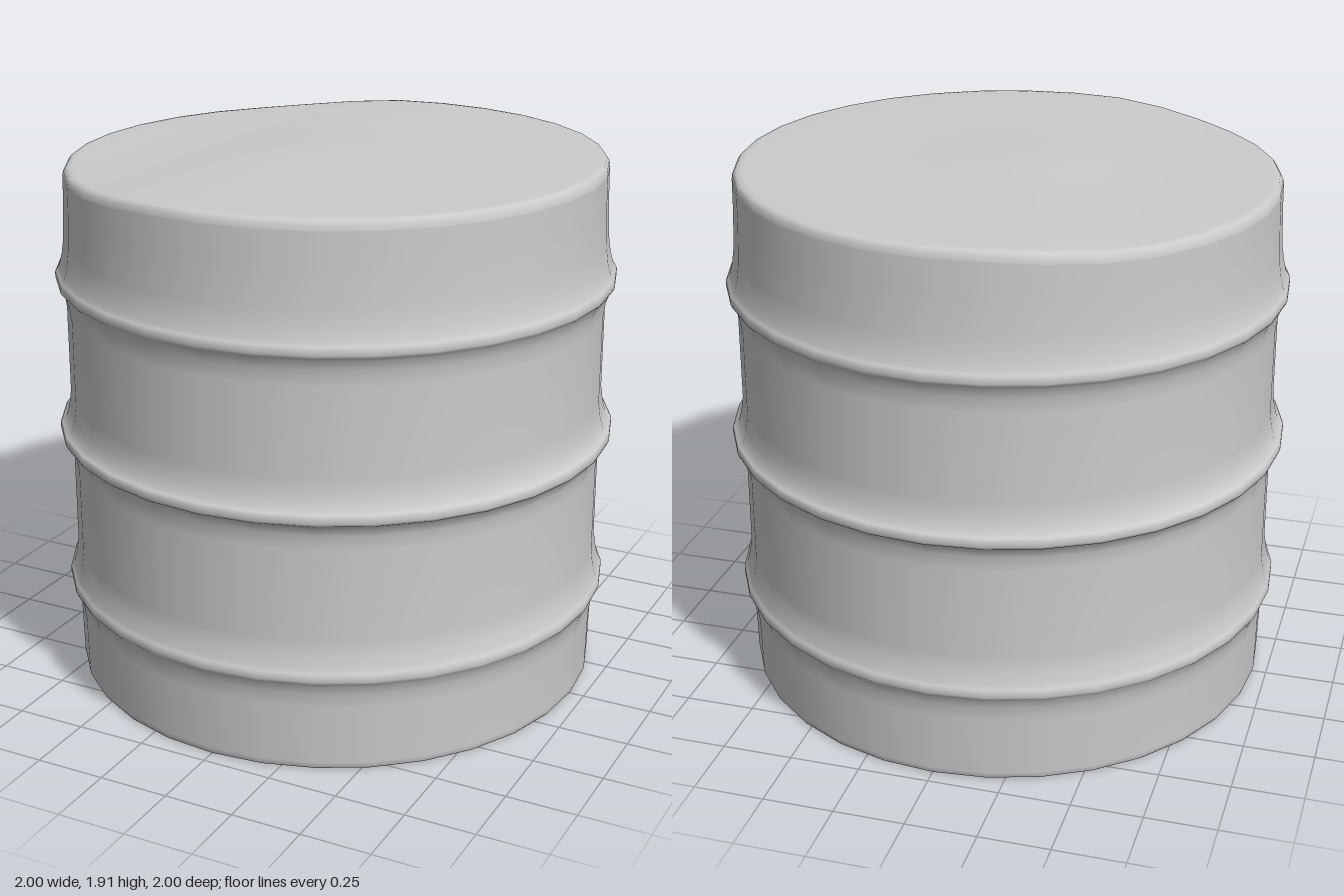
import * as THREE from 'three';
import { mergeVertices } from 'three/addons/utils/BufferGeometryUtils.js';

const SIDES = 32;
const material = new THREE.MeshStandardMaterial({ color: 0xcccccc });

function lathe(name, profile, deform) {
  const geo = new THREE.LatheGeometry(profile.map(([r, y]) => new THREE.Vector2(r, y)), SIDES);
  geo.deleteAttribute('uv');
  geo.deleteAttribute('normal');
  const pos = geo.attributes.position;
  if (deform) {
    for (let i = 0; i < pos.count; i++) pos.setY(i, deform(pos.getX(i), pos.getY(i)));
  }
  // weld the seam so the shading runs smoothly all round
  const welded = mergeVertices(geo, 1e-4);
  welded.computeVertexNormals();
  const mesh = new THREE.Mesh(welded, material);
  mesh.name = name;
  return mesh;
}

// The lid sinks slightly towards the right-hand side (-x)
const sink = (x, y) => {
  const depth = 0.028 * THREE.MathUtils.smoothstep(-x, 0.12, 0.68);
  return y - depth * THREE.MathUtils.smoothstep(y, 1.8, 1.88);
};

// A rolled hoop that flares out of the wall
const hoop = (y, r) => [
  [0.957, y - 0.12], [0.964, y - 0.065], [0.976, y - 0.03], [r - 0.004, y - 0.018],
  [r, y - 0.008], [r, y + 0.01], [r - 0.006, y + 0.02],
  [0.977, y + 0.032], [0.966, y + 0.075], [0.958, y + 0.13],
];

export function createModel() {
  const group = new THREE.Group();
  group.name = 'barrel';

  // Side wall with three hoops
  group.add(lathe('wall', [
    [0.945, 0], [0.951, 0.008], [0.953, 0.025],
    ...hoop(0.355, 0.99),
    ...hoop(0.928, 1.0),
    ...hoop(1.49, 0.992),
    [0.952, 1.75], [0.95, 1.868],
  ], sink));

  // Lid with a rounded rim and a faint rise in the middle
  group.add(lathe('lid', [
    [0.95, 1.868], [0.947, 1.886], [0.937, 1.9], [0.915, 1.903],
    [0.8, 1.903], [0.65, 1.903], [0.5, 1.903], [0.35, 1.903], [0.22, 1.907], [0.1, 1.912], [0, 1.913],
  ], sink));

  // Flat base
  group.add(lathe('base', [[0, 0], [0.945, 0]]));
  return group;
}
